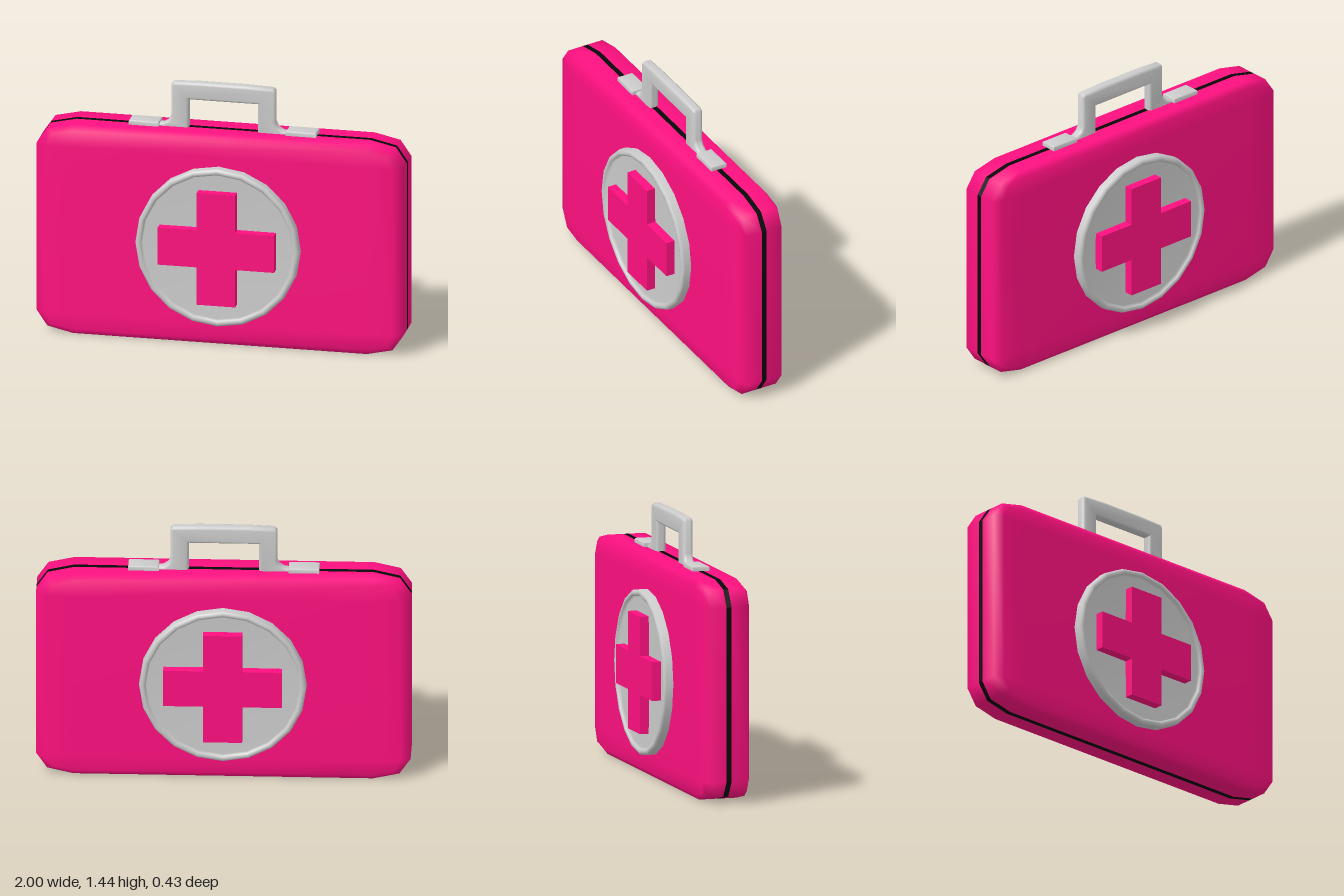
import * as THREE from 'three';
import { mergeVertices, toCreasedNormals } from 'three/addons/utils/BufferGeometryUtils.js';

const MID = 0.592, BADGE_Y = 0.568, SEAM = 0.014;
const pink = new THREE.MeshStandardMaterial({ color: 0xff1080 });
const black = new THREE.MeshStandardMaterial({ color: 0x080808 });
const grey = new THREE.MeshStandardMaterial({ color: 0xcccccc });

function add(parent, name, geometry, material) {
  const mesh = new THREE.Mesh(geometry, material);
  mesh.name = name;
  parent.add(mesh);
  return mesh;
}

// Mirror the three points of one corner into a full counterclockwise outline
function outline(corner) {
  const flipped = [...corner].reverse();
  return [
    ...corner,
    ...flipped.map(([x, y]) => [-x, y]),
    ...corner.map(([x, y]) => [-x, -y]),
    ...flipped.map(([x, y]) => [x, -y]),
  ];
}
const EDGE = [[1, 0.472], [0.94, 0.56], [0.8, 0.592]];

// Half of the case: outlines stacked along z, closed by a front cap
function halfCaseGeometry() {
  const layers = [
    [SEAM, EDGE],
    [0.105, EDGE],
    [0.128, [[0.945, 0.472], [0.91, 0.54], [0.8, 0.562]]],
    [0.135, [[0.8, 0.472], [0.8, 0.472], [0.8, 0.472]]],
  ];
  const positions = [], index = [], n = 12;
  for (const [z, corner] of layers) {
    for (const [x, y] of outline(corner)) positions.push(x, y, z);
  }
  for (let k = 0; k < layers.length - 1; k++) {
    for (let i = 0; i < n; i++) {
      const a = k * n + i, b = k * n + (i + 1) % n;
      index.push(a, b, b + n, a, b + n, a + n);
    }
  }
  const last = (layers.length - 1) * n, centre = layers.length * n;
  positions.push(0, 0, 0.135);
  for (let i = 0; i < n; i++) index.push(last + i, last + (i + 1) % n, centre);
  const geometry = new THREE.BufferGeometry();
  geometry.setAttribute('position', new THREE.Float32BufferAttribute(positions, 3));
  geometry.setIndex(index);
  const welded = mergeVertices(geometry);
  welded.computeVertexNormals();
  return welded;
}

function shapeOf(points) {
  return new THREE.Shape(points.map(([x, y]) => new THREE.Vector2(x, y)));
}

// Round 20-sided dish with a raised rim, facing +z
function dishGeometry() {
  const profile = [
    [0.447, 0.12], [0.447, 0.172], [0.441, 0.182], [0.428, 0.187],
    [0.415, 0.182], [0.408, 0.165], [0, 0.16],
  ].map(([r, h]) => new THREE.Vector2(r, h));
  return new THREE.LatheGeometry(profile, 20).rotateX(Math.PI / 2);
}

function crossGeometry() {
  const w = 0.105, l = 0.317;
  const shape = shapeOf([
    [w, -l], [w, -w], [l, -w], [l, w], [w, w], [w, l],
    [-w, l], [-w, w], [-l, w], [-l, -w], [-w, -w], [-w, -l],
  ]);
  return new THREE.ExtrudeGeometry(shape, { depth: 0.073, bevelEnabled: false }).translate(0, 0, 0.14);
}

// Handle arch with flared feet and softened edges
function handleGeometry() {
  const right = [
    [0.188, 1.34], [0.188, 1.17], [0.36, 1.17], [0.36, 1.196],
    [0.325, 1.2], [0.298, 1.217], [0.285, 1.245], [0.285, 1.42], [0.272, 1.434], [0.13, 1.44],
  ];
  const left = [...right].reverse().map(([x, y]) => [-x, y]);
  const geometry = new THREE.ExtrudeGeometry(shapeOf([...right, ...left]), {
    depth: 0.02, bevelThickness: 0.018, bevelSize: 0.016, bevelOffset: -0.016, bevelSegments: 3,
  }).translate(0, 0, -0.01);
  return toCreasedNormals(geometry, 0.8);
}

// Fastening pad with a narrow chamfer
function padGeometry() {
  const w = 0.082, d = 0.046;
  const geometry = new THREE.ExtrudeGeometry(shapeOf([[-w, -d], [w, -d], [w, d], [-w, d]]), {
    depth: 0.034, bevelThickness: 0.008, bevelSize: 0.008, bevelOffset: -0.008, bevelSegments: 2,
  }).rotateX(-Math.PI / 2);
  return toCreasedNormals(geometry, 0.8);
}

export function createModel() {
  const group = new THREE.Group();
  group.name = 'firstAidCase';

  // Matching front and back halves, each with a badge
  for (const side of ['front', 'back']) {
    const half = new THREE.Group();
    half.name = side + 'Half';
    if (side === 'back') half.rotation.y = Math.PI;
    add(half, side + 'Shell', halfCaseGeometry(), pink).position.y = MID;
    add(half, side + 'BadgeDish', dishGeometry(), grey).position.y = BADGE_Y;
    add(half, side + 'Cross', crossGeometry(), pink).position.y = BADGE_Y;
    group.add(half);
  }

  // Dark seam between the halves
  const seam = new THREE.ExtrudeGeometry(shapeOf(outline(EDGE)), { depth: SEAM * 2, bevelEnabled: false });
  add(group, 'seam', seam.translate(0, MID, -SEAM), black);

  // Handle and its two pads
  add(group, 'handle', handleGeometry(), grey);
  for (const s of [-1, 1]) {
    const pad = add(group, s > 0 ? 'leftHandlePad' : 'rightHandlePad', padGeometry(), grey);
    pad.position.set(s * 0.428, 1.168, 0);
  }
  return group;
}
